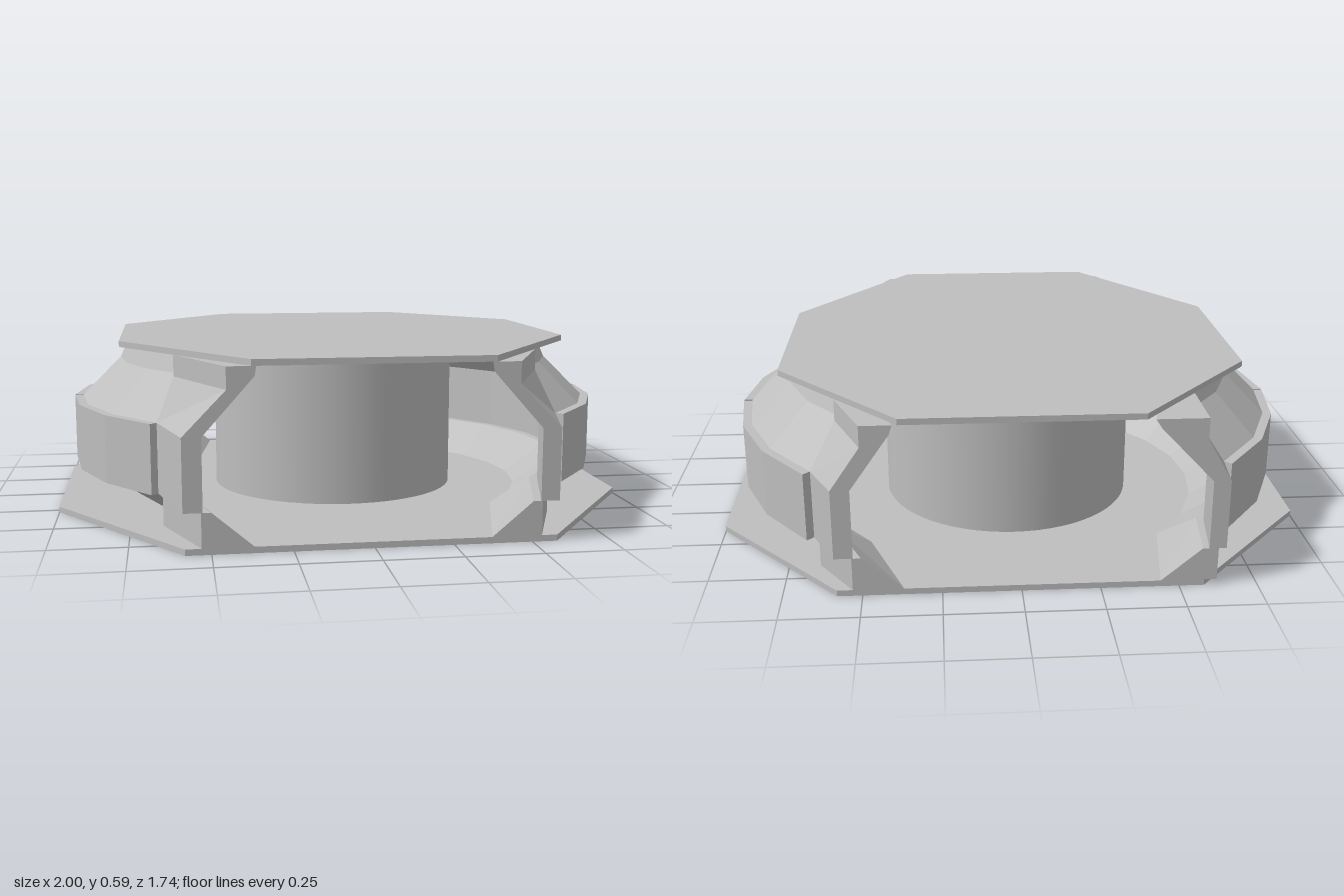
import * as THREE from 'three';

const CZ = -0.06; // z of the common axis of hub and walls

// Closed solid through a list of matching sections; profiles2D give the end caps
function loft(sections, capStart, capEnd) {
  const tris = [];
  const n = sections[0].length;
  for (let s = 0; s < sections.length - 1; s++) {
    const p = sections[s], q = sections[s + 1];
    for (let i = 0; i < n; i++) {
      const j = (i + 1) % n;
      tris.push([p[i], p[j], q[j]], [p[i], q[j], q[i]]);
    }
  }
  const last = sections[sections.length - 1];
  for (const [a, b, c] of THREE.ShapeUtils.triangulateShape(capStart, [])) {
    tris.push([sections[0][a], sections[0][c], sections[0][b]]);
  }
  for (const [a, b, c] of THREE.ShapeUtils.triangulateShape(capEnd, [])) {
    tris.push([last[a], last[b], last[c]]);
  }
  // turn the solid outwards if its signed volume is negative
  let volume = 0;
  const cross = new THREE.Vector3();
  for (const [a, b, c] of tris) volume += a.dot(cross.crossVectors(b, c));
  const points = tris.flatMap(([a, b, c]) => (volume < 0 ? [a, c, b] : [a, b, c]));
  const geometry = new THREE.BufferGeometry().setFromPoints(points);
  geometry.computeVertexNormals();
  return geometry;
}

const toVec2 = (profile) => profile.map(([r, y]) => new THREE.Vector2(r, y));

// Radial section at an angle (degrees) measured from the x axis
function radial(profile, degrees, side) {
  const a = THREE.MathUtils.degToRad(degrees);
  return profile.map(([r, y]) =>
    new THREE.Vector3(side * r * Math.cos(a), y, CZ + r * Math.sin(a)));
}

function arc(profile, from, to, steps, side) {
  const sections = [];
  for (let i = 0; i <= steps; i++) {
    sections.push(radial(profile, from + ((to - from) * i) / steps, side));
  }
  return loft(sections, toVec2(profile), toVec2(profile));
}

// Eight-sided plate
function plate(halfX, cornerX, bottom, thickness) {
  const right = [[cornerX, 0.87], [halfX, 0.28], [halfX, -0.4], [cornerX, -0.87]];
  const left = right.map(([x, z]) => [-x, z]).reverse();
  const shape = new THREE.Shape(toVec2([...right, ...left].map(([x, z]) => [x, -z])));
  const geometry = new THREE.ExtrudeGeometry(shape, { depth: thickness, bevelEnabled: false });
  return geometry.rotateX(-Math.PI / 2).translate(0, bottom, 0);
}

// Wall strut section from its offsets: outer side upwards, then inner side downwards
const strutHeights = [0.02, 0.13, 0.13, 0.36, 0.5, 0.57, 0.57, 0.54, 0.36, 0.13, 0.13, 0.02];
const strutProfile = (offsets) => offsets.map((r, i) => [r, strutHeights[i]]);

export function createModel() {
  const group = new THREE.Group();
  const grey = new THREE.MeshStandardMaterial({ color: 0xbebebe });
  grey.name = 'grey';
  const add = (name, geometry) => {
    const mesh = new THREE.Mesh(geometry, grey);
    mesh.name = name;
    group.add(mesh);
    return mesh;
  };

  // Floor and roof
  add('basePlate', plate(1, 0.58, 0, 0.02));
  add('topPlate', plate(0.782, 0.375, 0.57, 0.02));

  // Round core
  add('core', new THREE.CylinderGeometry(0.445, 0.445, 0.55, 64, 1, true)
    .translate(0, 0.295, CZ));

  // Curved side walls with outer panels, split in the middle
  const wall = [
    [0.75, 0.02], [0.91, 0.13], [0.93, 0.13], [0.93, 0.36], [0.79, 0.5], [0.76, 0.57],
    [0.7, 0.57], [0.71, 0.53], [0.87, 0.36], [0.87, 0.13], [0.84, 0.13], [0.69, 0.02],
  ];
  const panel = [[0.925, 0.13], [0.96, 0.13], [0.96, 0.36], [0.925, 0.36]];
  for (const side of [1, -1]) {
    const label = side > 0 ? 'left' : 'right';
    add(label + 'Wall', arc(wall, -45, 45, 6, side));
    add(label + 'FrontPanel', arc(panel, 0.4, 45, 3, side));
    add(label + 'BackPanel', arc(panel, -45, -0.4, 3, side));
  }

  // Straight struts carrying each wall on to the front and back edges
  const start = (upper) =>
    [0.91, 0.91, 0.93, 0.93, upper, upper, 0.7, 0.71, 0.87, 0.87, 0.84, 0.69];
  const frontEnd = [0.53, 0.53, 0.585, 0.585, 0.45, 0.45, 0.36, 0.365, 0.525, 0.525, 0.5, 0.37];
  const backEnd = [0.53, 0.53, 0.585, 0.585, 0.49, 0.49, 0.39, 0.4, 0.525, 0.525, 0.5, 0.37];
  const straightEnd = [0.62, 0.62, 0.645, 0.645, 0.565, 0.565, 0.4, 0.42, 0.59, 0.59, 0.57, 0.44];
  const struts = [
    ['leftFrontStrut', 1, 1, 0.85, frontEnd],
    ['rightFrontStrut', -1, 1, 0.85, frontEnd],
    ['leftBackStrut', 1, -1, 0.82, backEnd],
    ['rightBackStrut', -1, -1, 0.8, straightEnd],
  ];
  for (const [name, side, facing, upper, endOffsets] of struts) {
    const from = strutProfile(start(upper));
    const to = strutProfile(endOffsets);
    const endSection = to.map(([x, y]) => new THREE.Vector3(side * x, y, facing * 0.87));
    add(name, loft([radial(from, 45 * facing, side), endSection], toVec2(from), toVec2(to)));
  }
  return group;
}
